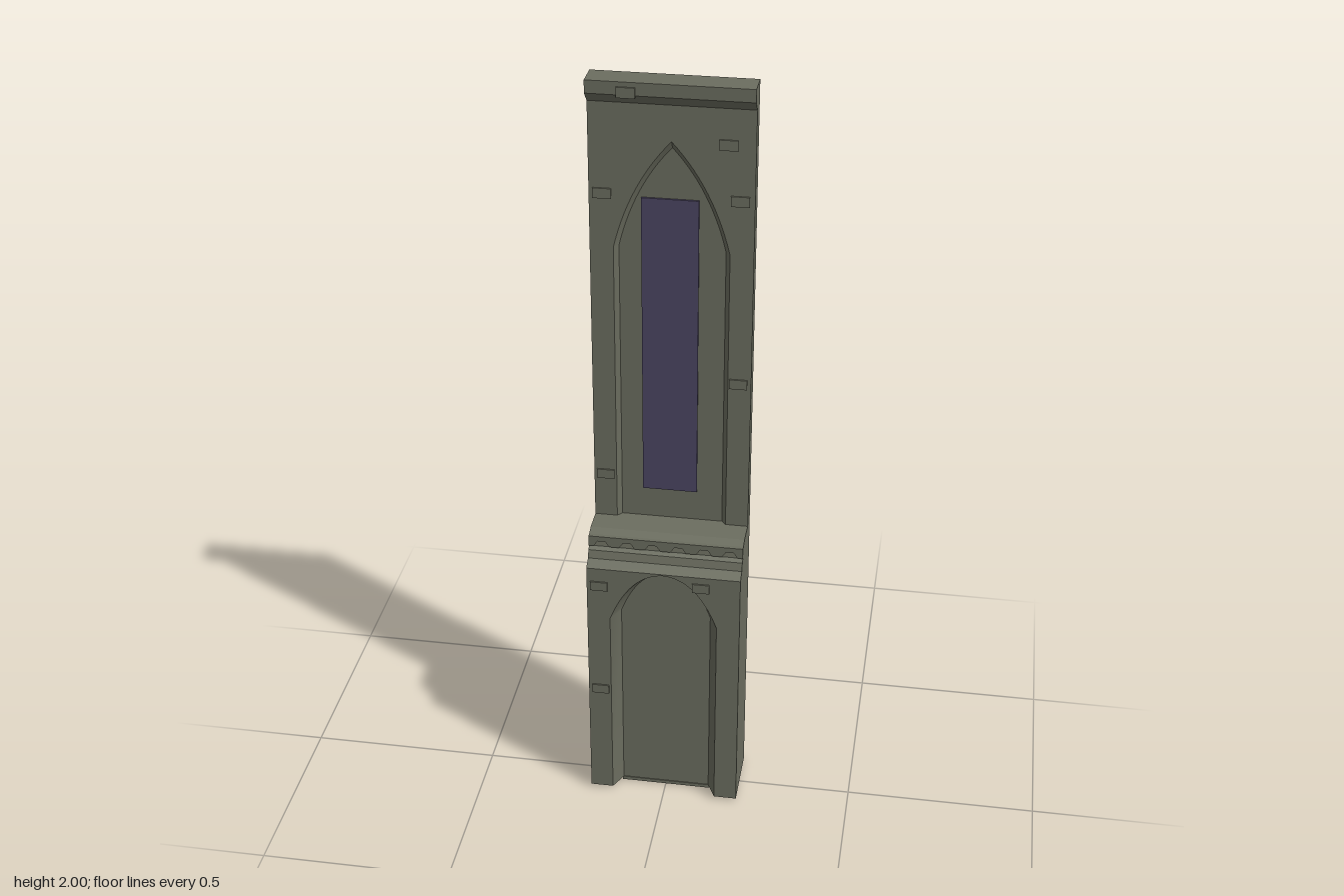
import * as THREE from 'three';
import { toCreasedNormals } from 'three/addons/utils/BufferGeometryUtils.js';

export function createModel() {
  const model = new THREE.Group();
  const stone = new THREE.MeshStandardMaterial({ color: 0x6b6d5f });
  stone.name = 'stone';
  const glass = new THREE.MeshStandardMaterial({ color: 0x4b4562 });
  glass.name = 'dusky glass';
  const W = 0.2; // half width

  const add = (name, geo, mat = stone) => {
    const mesh = new THREE.Mesh(geo, mat);
    mesh.name = name;
    model.add(mesh);
    return mesh;
  };
  const box = (name, x, y, z, w, h, d, mat) =>
    add(name, new THREE.BoxGeometry(w, h, d), mat).position.set(x, y, z);

  // Side profile of [z, y] points, swept across the full width
  const sweep = (name, pts) => {
    const shape = new THREE.Shape(pts.map(p => new THREE.Vector2(...p)));
    const geo = new THREE.ExtrudeGeometry(shape, { depth: 2 * W, bevelEnabled: false });
    geo.rotateY(-Math.PI / 2).translate(W, 0, 0);
    add(name, geo);
  };

  // Facing slab with an arched opening whose reveal narrows towards the back
  const archFacing = (name, { bottom, top, half, spring, apex, bulge, z, depth, inset, drop }) => {
    const s = new THREE.Shape();
    s.moveTo(-W, bottom);
    s.lineTo(-half, bottom);
    s.lineTo(-half, spring);
    s.quadraticCurveTo(-half * bulge[0], bulge[1], 0, apex);
    s.quadraticCurveTo(half * bulge[0], bulge[1], half, spring);
    s.lineTo(half, bottom);
    s.lineTo(W, bottom);
    s.lineTo(W, top);
    s.lineTo(-W, top);
    const geo = new THREE.ExtrudeGeometry(s, { depth, bevelEnabled: false, curveSegments: 14 });
    const p = geo.attributes.position;
    for (let i = 0; i < p.count; i++) {
      const x = p.getX(i), y = p.getY(i);
      if (p.getZ(i) < depth / 2 && Math.abs(x) < W - 0.01) {
        p.setX(i, x * inset);
        if (y > spring - 0.001) p.setY(i, y - drop * (y - spring) / (apex - spring));
      }
    }
    geo.translate(0, 0, z);
    add(name, toCreasedNormals(geo, 0.6));
  };

  // Lower block with its sloping ledge
  sweep('lowerBlock', [
    [-0.09, 0.008], [0.04, 0.008], [0.04, 0.715], [0.085, 0.722], [0.06, 0.737],
    [0.053, 0.758], [0.042, 0.765], [0.037, 0.797], [0.015, 0.805], [-0.09, 0.805],
  ]);
  archFacing('lowerArch', {
    bottom: 0.008, top: 0.722, half: 0.14, spring: 0.57, apex: 0.718,
    bulge: [0.62, 0.715], z: 0.04, depth: 0.045, inset: 0.84, drop: 0.022,
  });
  box('nicheSill', 0, 0.005, 0.03, 0.24, 0.01, 0.024);

  // Upper wall, pointed recess and cornice
  box('upperWall', 0, 1.4, -0.0765, 2 * W, 1.2, 0.027);
  archFacing('upperArch', {
    bottom: 0.8, top: 1.96, half: 0.142, spring: 1.57, apex: 1.85,
    bulge: [0.72, 1.74], z: -0.063, depth: 0.014, inset: 0.92, drop: 0.02,
  });
  sweep('cornice', [[-0.07, 1.94], [-0.049, 1.94], [-0.021, 1.968], [-0.021, 2], [-0.07, 2]]);
  box('windowPane', -0.005, 1.295, -0.061, 0.14, 0.81, 0.006, glass);

  // Scalloped lip along the ledge
  const lip = new THREE.Shape();
  const step = 2 * W / 6;
  lip.moveTo(-W, 0.797);
  for (let i = 0; i < 6; i++) {
    const x = -W + i * step;
    [[0, 0.768], [0.2, 0.768], [0.35, 0.783], [0.65, 0.783], [0.8, 0.768], [1, 0.768]]
      .forEach(([f, y]) => lip.lineTo(x + f * step, y));
  }
  lip.lineTo(W, 0.797);
  add('scallopedLip', new THREE.ExtrudeGeometry(lip, { depth: 0.012, bevelEnabled: false }))
    .position.z = 0.036;

  // Slightly raised bricks: x, y, face z
  [
    [-0.168, 1.71, -0.049], [0.135, 1.85, -0.049], [0.165, 1.71, -0.049],
    [0.168, 1.22, -0.049], [-0.17, 0.93, -0.049], [-0.168, 0.67, 0.085],
    [0.098, 0.69, 0.085], [-0.168, 0.34, 0.085], [-0.103, 1.975, -0.021],
  ].forEach(([x, y, z]) => box('raisedBrick', x, y, z, 0.045, 0.026, 0.008));

  return model;
}
